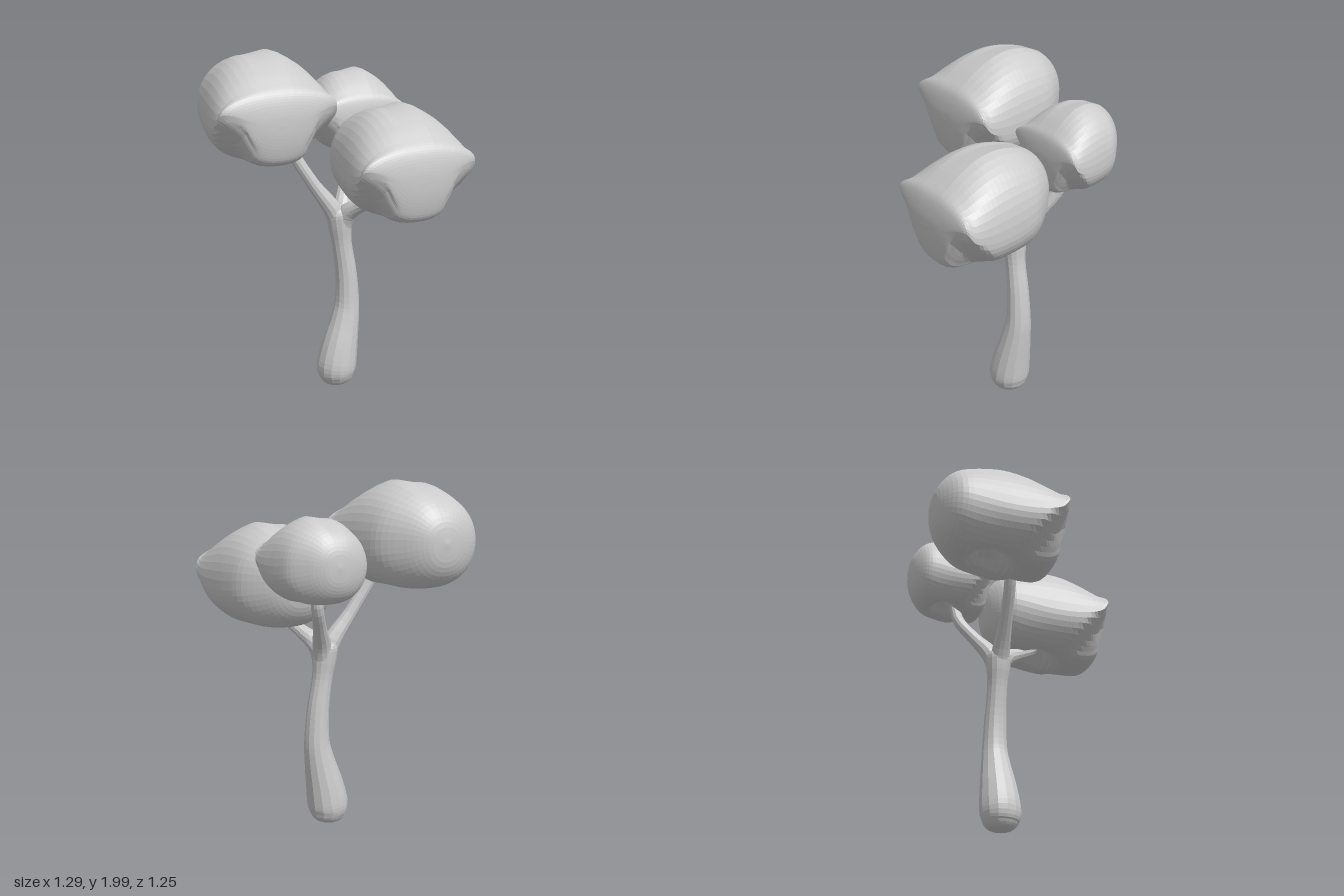
import * as THREE from 'three';

const V = (x, y, z) => new THREE.Vector3(x, y, z);
const material = new THREE.MeshStandardMaterial({ color: 0xcccccc, flatShading: true });

// Skin a list of closed rings (each an array of Vector3, counter-clockwise about the path)
function loft(name, rings) {
  const n = rings[0].length;
  const index = [];
  for (let i = 0; i < rings.length - 1; i++) {
    for (let j = 0; j < n; j++) {
      const a = i * n + j, b = i * n + (j + 1) % n;
      index.push(a, b, b + n, a, b + n, a + n);
    }
  }
  const geometry = new THREE.BufferGeometry().setFromPoints(rings.flat());
  geometry.setIndex(index);
  geometry.computeVertexNormals();
  const mesh = new THREE.Mesh(geometry, material);
  mesh.name = name;
  return mesh;
}

// Tapered limb through points [x, y, z, radius]
function limb(name, points, steps, sides) {
  const path = new THREE.CatmullRomCurve3(points.map(p => V(p[0], p[1], p[2])), false, 'catmullrom', 0.5);
  const radius = new THREE.CatmullRomCurve3(points.map(p => V(p[3], 0, 0)), false, 'catmullrom', 0.5);
  const rings = [];
  for (let i = 0; i <= steps; i++) {
    const t = i / steps, c = path.getPoint(t), r = Math.max(radius.getPoint(t).x, 0);
    const dir = path.getTangent(t);
    const u = V(0, 0, 1).cross(dir).normalize();
    const v = dir.clone().cross(u);
    rings.push(Array.from({ length: sides }, (_, j) => {
      const a = j / sides * Math.PI * 2;
      return c.clone().addScaledVector(u, r * Math.cos(a)).addScaledVector(v, r * Math.sin(a));
    }));
  }
  return loft(name, rings);
}

// Crown sections from back to front: z, half width, top, widest height, bottom
const SECTIONS = [
  [-0.365, 0, 0, 0, 0],
  [-0.345, 0.11, 0.115, 0.00, -0.13],
  [-0.28, 0.21, 0.205, -0.01, -0.225],
  [-0.17, 0.275, 0.265, -0.03, -0.28],
  [-0.03, 0.31, 0.295, -0.06, -0.292],
  [0.10, 0.33, 0.28, -0.07, -0.296],
  [0.21, 0.342, 0.23, -0.06, -0.294],
  [0.29, 0.343, 0.172, -0.03, -0.288],
  [0.335, 0.328, 0.13, 0.03, -0.26],
  [0.357, 0.25, 0.08, 0.02, -0.20],
  [0.37, 0.13, 0.01, -0.03, -0.12],
  [0.373, 0, -0.05, -0.05, -0.05],
];

const smooth = THREE.MathUtils.smoothstep;
const bump = (x, c, w) => Math.exp(-(((x - c) / w) ** 2));

function crown(name, position, scale) {
  const curveA = new THREE.CatmullRomCurve3(SECTIONS.map(s => V(s[0], s[1], s[2])), false, 'catmullrom', 0.5);
  const curveB = new THREE.CatmullRomCurve3(SECTIONS.map(s => V(s[3], s[4], 0)), false, 'catmullrom', 0.5);
  const steps = 44, sides = 44, rings = [];
  for (let i = 0; i <= steps; i++) {
    const { x: z, y: w, z: top } = curveA.getPoint(i / steps);
    const { x: mid, y: bottom } = curveB.getPoint(i / steps);
    const brim = -0.25 + 1.05 * (z - 0.06);
    rings.push(Array.from({ length: sides }, (_, j) => {
      const a = j / sides * Math.PI * 2, c = Math.cos(a), s = Math.sin(a);
      let x = w * Math.sign(c) * Math.abs(c) ** 0.87;
      let y = mid + (s > 0 ? (top - mid) * s ** 0.95 : (mid - bottom) * s);
      if (s < 0) {
        // lobe tucked under the brim, which climbs towards the front corners
        const tuck = 0.33 * smooth(brim - y, 0, 0.15) * smooth(z, 0.02, 0.16) * smooth(0.372 - z, 0, 0.03);
        x *= 1 - tuck * (1 - 0.5 * smooth(-s, 0.7, 1));
        // hollow where the branch enters
        y += 0.13 * bump(x, 0, 0.1) * bump(z, -0.02, 0.1) * smooth(-s, 0.6, 1);
      } else {
        // uneven summit with a shallow fold
        x += 0.02 * s * w / 0.34;
        y += s * w / 0.32 * (0.015 * bump(x, 0.08, 0.06) - 0.012 * bump(x, -0.02, 0.05)) * bump(z, -0.05, 0.25);
      }
      // back shoulder leaning to one side
      return V(x - 0.035 * bump(z, -0.29, 0.1), y, z);
    }));
  }
  const mesh = loft(name, rings);
  mesh.position.set(...position);
  mesh.scale.set(...scale);
  return mesh;
}

export function createModel() {
  const tree = new THREE.Group();
  tree.name = 'tree';

  // Swaying trunk with a rounded foot
  tree.add(limb('trunk', [
    [0.106, 0.006, -0.05, 0], [0.105, 0.022, -0.05, 0.066], [0.103, 0.06, -0.05, 0.1],
    [0.103, 0.125, -0.05, 0.117], [0.125, 0.25, -0.053, 0.107], [0.158, 0.4, -0.057, 0.086],
    [0.175, 0.52, -0.06, 0.072], [0.167, 0.7, -0.06, 0.063], [0.14, 0.88, -0.06, 0.058],
    [0.125, 1.0, -0.06, 0.069], [0.118, 1.08, -0.06, 0.066], [0.118, 1.12, -0.06, 0],
  ], 44, 14));

  // Three branches spreading from the fork
  const branches = {
    rightBranch: [[0.13, 0.95, -0.06, 0.052], [0.085, 1.08, -0.06, 0.054], [-0.03, 1.24, -0.07, 0.038], [-0.15, 1.43, -0.09, 0.034], [-0.21, 1.56, -0.12, 0.026]],
    frontBranch: [[0.13, 0.95, -0.06, 0.052], [0.155, 1.07, -0.02, 0.054], [0.21, 1.14, 0.08, 0.038], [0.265, 1.21, 0.19, 0.034], [0.29, 1.28, 0.24, 0.026]],
    backBranch: [[0.13, 0.95, -0.06, 0.052], [0.155, 1.08, -0.09, 0.054], [0.21, 1.2, -0.175, 0.038], [0.265, 1.33, -0.26, 0.034], [0.29, 1.47, -0.285, 0.026]],
  };
  for (const [name, points] of Object.entries(branches)) tree.add(limb(name, points, 14, 12));

  // Leafy crowns sharing one shape
  tree.add(crown('rightCrown', [-0.30, 1.695, -0.255], [1.02, 1.0, 1.02]));
  tree.add(crown('frontCrown', [0.298, 1.435, 0.25], [1.0, 1.0, 1.0]));
  tree.add(crown('backCrown', [0.30, 1.61, -0.337], [0.79, 0.79, 0.64]));
  return tree;
}
